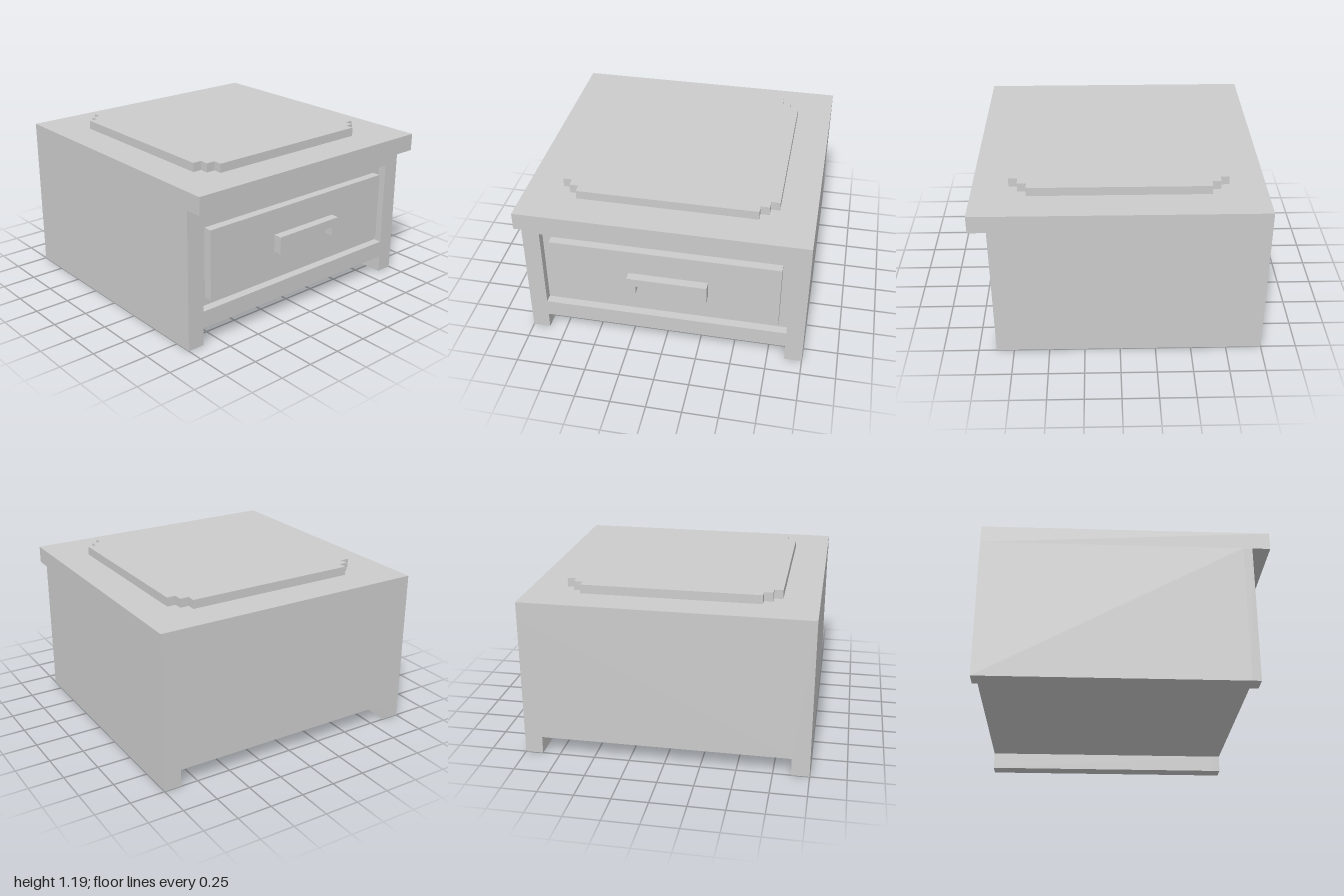
import * as THREE from 'three';

const U = 1 / 16; // base module of all sizes

export function createModel() {
  const model = new THREE.Group();
  model.name = 'nightstand';
  const material = new THREE.MeshStandardMaterial({ color: 0xcccccc, flatShading: true });

  const add = (name, geometry) => {
    const mesh = new THREE.Mesh(geometry, material);
    mesh.name = name;
    model.add(mesh);
    return mesh;
  };
  const outline = (points) => points.map(([x, y]) => new THREE.Vector2(x * U, y * U));

  // Extrudes an outline (in modules) along z from z0 to z1
  const extrude = (points, z0, z1, hole) => {
    const shape = new THREE.Shape(outline(points));
    if (hole) shape.holes.push(new THREE.Path(outline(hole)));
    return new THREE.ExtrudeGeometry(shape, { depth: (z1 - z0) * U, bevelEnabled: false })
      .translate(0, 0, z0 * U);
  };
  const rect = (x0, y0, x1, y1) => [[x0, y0], [x1, y0], [x1, y1], [x0, y1]];

  // Body with side runners as feet, then the front frame around the drawer recess
  const bodyOutline = [[-16, 0], [-14, 0], [-14, 2], [14, 2], [14, 0], [16, 0], [16, 16], [-16, 16]];
  add('body', extrude(bodyOutline, -16, 13));
  add('frontFrame', extrude(bodyOutline, 13, 14, rect(-14, 4, 14, 14)));

  // Drawer front, flush with the frame and set off by a groove
  add('drawerFront', extrude(rect(-13, 5, 13, 13), 13, 14));

  // Bracket handle, slightly off centre
  add('drawerHandle', extrude(
    [[-4, 8], [-3, 8], [-3, 9], [4, 9], [4, 8], [5, 8], [5, 10], [-4, 10]], 14, 15));

  // Table top overhanging the front
  add('tableTop', extrude(rect(-16, 16, 16, 18), -16, 16));

  // Mat with stepped corners, mirrored into each quadrant
  const corner = [[12, 10], [11, 10], [11, 11], [10, 11], [10, 12]];
  const mat = [];
  for (const [sx, sy] of [[1, 1], [-1, 1], [-1, -1], [1, -1]]) {
    const part = corner.map(([x, y]) => [x * sx, y * sy]);
    mat.push(...(sx * sy > 0 ? part : part.reverse()));
  }
  add('topMat', extrude(mat, 0, 1).rotateX(-Math.PI / 2).translate(0, 18 * U, 0));

  return model;
}
